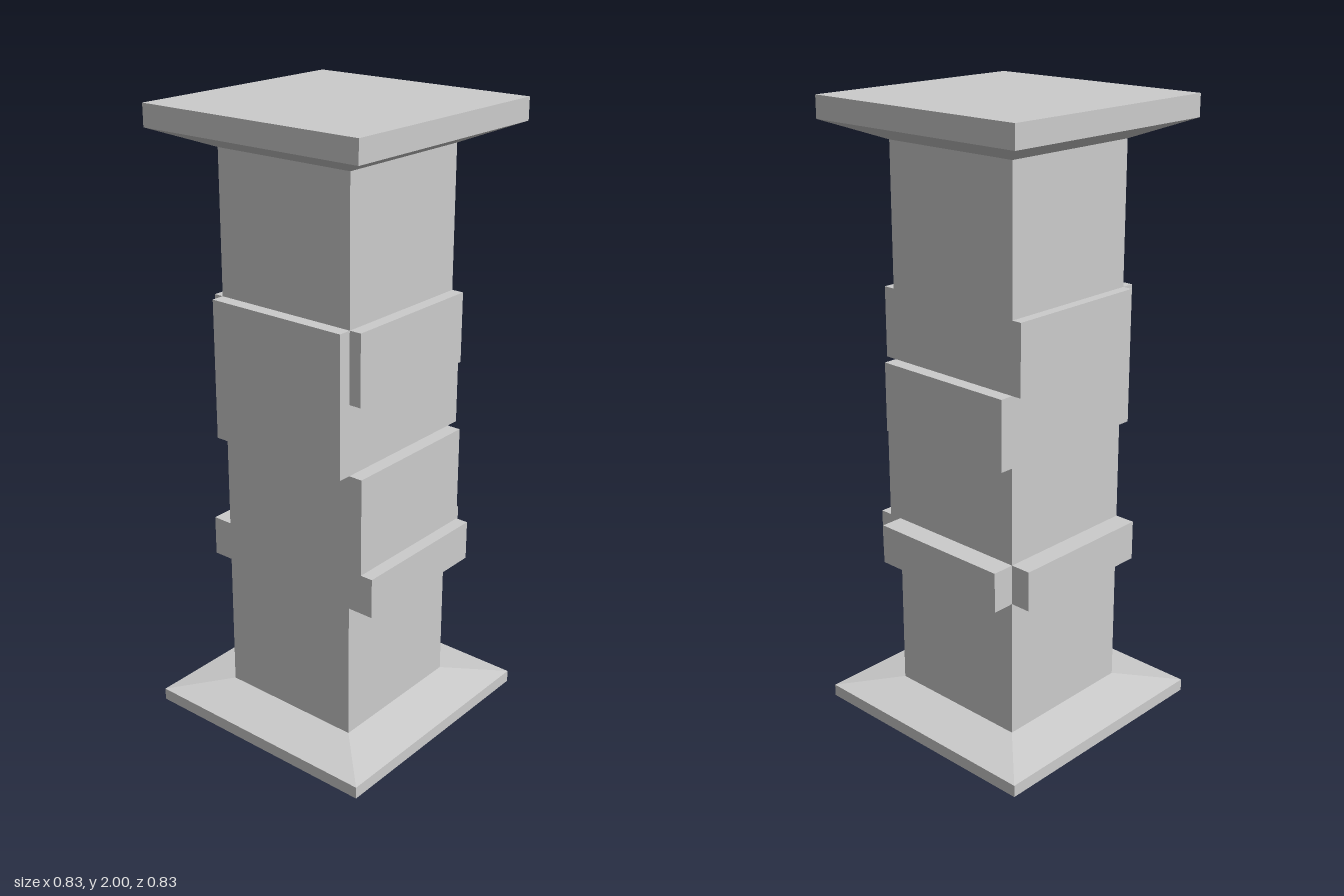
import * as THREE from 'three';

const material = new THREE.MeshStandardMaterial({ color: 0xcccccc, flatShading: true });
const HALF = 0.247; // half width of the shaft

// Square turned part from [half width, height] pairs, listed bottom to top
function squarePart(name, profile) {
  const points = profile.map(([half, y]) => new THREE.Vector2(half * Math.SQRT2, y));
  const geometry = new THREE.LatheGeometry(points, 4).rotateY(Math.PI / 4).toNonIndexed();
  geometry.computeVertexNormals();
  const mesh = new THREE.Mesh(geometry, material);
  mesh.name = name;
  return mesh;
}

// Raised block as wide as one shaft face; the turn picks the face (0 = front)
function faceBlock(name, turn, bottom, top, reach) {
  const depth = reach - HALF;
  const geometry = new THREE.BoxGeometry(HALF * 2, top - bottom, depth);
  geometry.translate(0, (bottom + top) / 2, HALF + depth / 2);
  const mesh = new THREE.Mesh(geometry, material);
  mesh.rotation.y = turn * Math.PI / 2;
  mesh.name = name;
  return mesh;
}

export function createModel() {
  const pillar = new THREE.Group();
  pillar.name = 'pillar';

  // Plinth, shaft and capital
  pillar.add(
    squarePart('base', [[0, 0], [0.415, 0], [0.415, 0.04], [HALF, 0.07]]),
    squarePart('shaft', [[HALF, 0.07], [HALF, 1.87]]),
    squarePart('capital', [[HALF, 1.87], [0.395, 1.93], [0.395, 2], [0, 2]])
  );

  // Raised blocks: name, face, bottom, top, distance from the axis
  const blocks = [
    ['frontBlock', 0, 0.97, 1.42, 0.29],
    ['leftUpperBlock', 1, 1.195, 1.42, 0.287],
    ['leftMiddleBlock', 1, 0.655, 0.97, 0.293],
    ['leftLowerBlock', 1, 0.525, 0.655, 0.335],
    ['backUpperBlock', 2, 0.97, 1.195, 0.292],
    ['backLowerBlock', 2, 0.525, 0.655, 0.322],
    ['rightUpperBlock', 3, 1.195, 1.42, 0.28],
    ['rightLowerBlock', 3, 0.525, 0.655, 0.315],
  ];
  for (const block of blocks) pillar.add(faceBlock(...block));

  return pillar;
}
